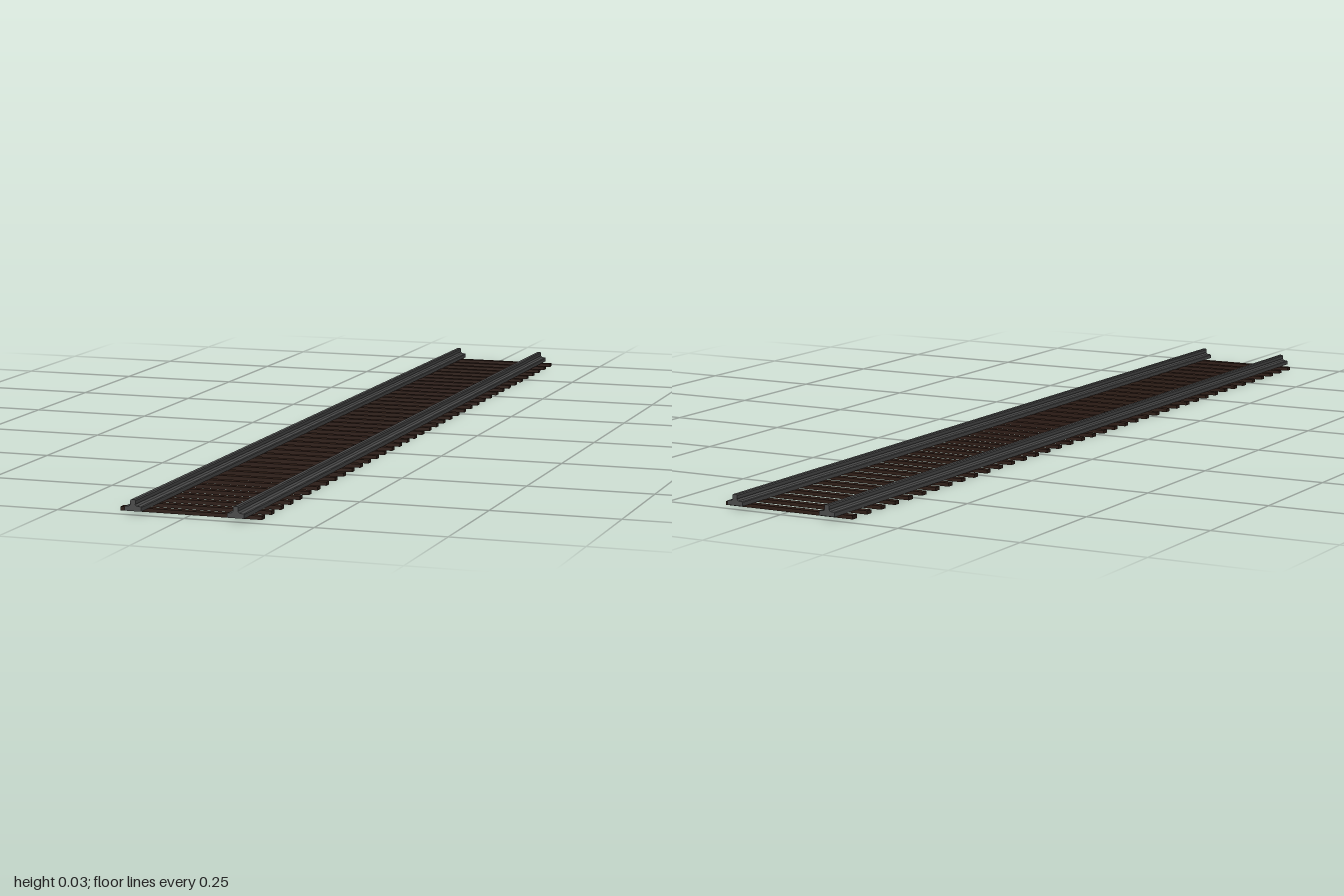
import * as THREE from 'three';

export function createModel() {
  const track = new THREE.Group();
  track.name = 'railwayTrack';

  const steel = new THREE.MeshStandardMaterial({ color: 0x4a4a4a, flatShading: true });
  const wood = new THREE.MeshStandardMaterial({ color: 0x2e1d16, flatShading: true });

  const length = 2, gauge = 0.2, sleeperHeight = 0.007;

  // Rail: wide foot, sloped shoulder, narrow web and chamfered head
  const half = [
    [0.0165, sleeperHeight], [0.0165, 0.0145], [0.015, 0.0158], [0.0075, 0.0165],
    [0.0045, 0.0195], [0.0052, 0.0215], [0.0052, 0.0265], [0.0035, 0.0285],
  ];
  const outline = [...half, ...half.map(([x, y]) => [-x, y]).reverse()];
  const profile = new THREE.Shape(outline.map(([x, y]) => new THREE.Vector2(x, y)));
  const railGeometry = new THREE.ExtrudeGeometry(profile, { depth: length, bevelEnabled: false });
  railGeometry.translate(0, 0, -length / 2);
  for (const side of [1, -1]) {
    const rail = new THREE.Mesh(railGeometry, steel);
    rail.name = side > 0 ? 'leftRail' : 'rightRail';
    rail.position.x = side * gauge / 2;
    track.add(rail);
  }

  // Evenly spaced sleepers under the rails
  const sleepers = new THREE.Group();
  sleepers.name = 'sleepers';
  const count = 40, firstZ = -0.966, lastZ = 0.96;
  const sleeperGeometry = new THREE.BoxGeometry(0.277, sleeperHeight, 0.015);
  for (let i = 0; i < count; i++) {
    const sleeper = new THREE.Mesh(sleeperGeometry, wood);
    sleeper.name = 'sleeper';
    sleeper.position.set(0, sleeperHeight / 2, THREE.MathUtils.lerp(firstZ, lastZ, i / (count - 1)));
    sleepers.add(sleeper);
  }
  track.add(sleepers);

  return track;
}
